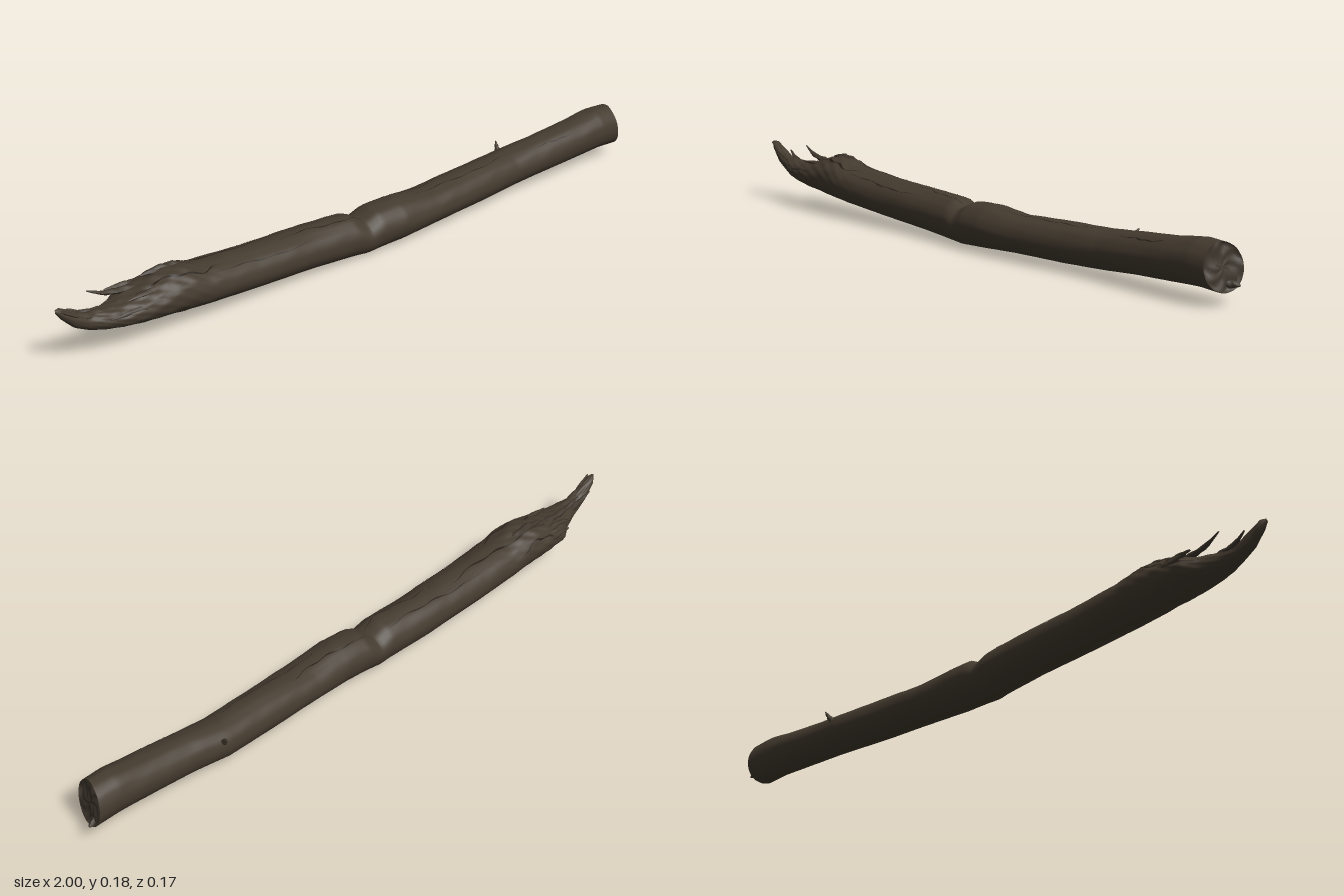
import * as THREE from 'three';

// Outline stations along the log: x, bottom, top, back z, front z
const STATIONS = [
  [-1.0, 0.178, 0.184, -0.003, 0.003], [-0.985, 0.155, 0.185, -0.015, 0.012],
  [-0.95, 0.118, 0.165, -0.02, 0.018], [-0.91, 0.096, 0.142, -0.025, 0.022],
  [-0.87, 0.085, 0.138, -0.035, 0.035], [-0.82, 0.073, 0.138, -0.055, 0.045],
  [-0.78, 0.066, 0.145, -0.082, 0.054], [-0.71, 0.057, 0.162, -0.086, 0.06],
  [-0.66, 0.051, 0.174, -0.086, 0.063], [-0.61, 0.046, 0.172, -0.085, 0.065],
  [-0.56, 0.042, 0.157, -0.084, 0.066], [-0.4, 0.03, 0.144, -0.08, 0.064],
  [-0.2, 0.017, 0.136, -0.074, 0.063], [-0.06, 0.008, 0.132, -0.063, 0.07],
  [-0.02, 0.006, 0.112, -0.06, 0.074], [0.02, 0.008, 0.132, -0.058, 0.078],
  [0.1, 0.012, 0.135, -0.054, 0.084], [0.22, 0.018, 0.124, -0.055, 0.081],
  [0.4, 0.019, 0.13, -0.058, 0.071], [0.55, 0.024, 0.133, -0.062, 0.063],
  [0.66, 0.033, 0.143, -0.05, 0.068], [0.8, 0.04, 0.156, -0.044, 0.074],
  [0.9, 0.044, 0.168, -0.04, 0.077], [0.97, 0.04, 0.165, -0.037, 0.077],
];
const RINGS = 240, SIDES = 48;

function section(x) {
  let i = 0;
  while (i < STATIONS.length - 2 && x > STATIONS[i + 1][0]) i++;
  const a = STATIONS[i], b = STATIONS[i + 1];
  const t = THREE.MathUtils.clamp((x - a[0]) / (b[0] - a[0]), 0, 1);
  return a.map((v, k) => THREE.MathUtils.lerp(v, b[k], t));
}

// Point on the bark; angle 0 faces +z, a quarter turn faces up
function surface(x, angle, scale = 1) {
  const [, bottom, top, back, front] = section(x);
  const torn = THREE.MathUtils.smoothstep(-x, 0.45, 0.75);
  const upper = 0.35 + 0.65 * Math.max(0, Math.sin(angle));
  const grain = Math.sin(7 * angle + 3 * Math.sin(4 * x)) * 0.5
    + Math.sin(13 * angle + 9 * x) * 0.4 + Math.sin(3 * angle + 23 * x) * 0.5
    + Math.sin(5 * angle - 61 * x) * Math.sin(17 * x) * 0.5;
  const chips = Math.sin(11 * angle + 31 * x) * Math.sin(83 * x + 2 * angle) * torn;
  const r = scale * (1 + upper * (0.017 * grain + 0.06 * chips));
  const y = (bottom + top) / 2 + r * (top - bottom) / 2 * Math.sin(angle);
  const z = (back + front) / 2 + r * (front - back) / 2 * Math.cos(angle);
  // The sawn end leans back towards the front and the top
  const lean = THREE.MathUtils.smoothstep(x, 0.85, 0.97);
  return new THREE.Vector3(x - lean * (0.22 * z + 0.15 * (y - 0.1)), y, z);
}

// Surface from a grid of points: rows of equal length, optionally closed round
function gridGeometry(rows, closed) {
  const n = rows[0].length, index = [];
  for (let i = 0; i < rows.length - 1; i++) {
    for (let j = 0; j < (closed ? n : n - 1); j++) {
      const k = (j + 1) % n, a = i * n, b = a + n;
      index.push(a + j, b + j, a + k, b + j, b + k, a + k);
    }
  }
  const g = new THREE.BufferGeometry().setFromPoints(rows.flat());
  g.setIndex(index);
  g.computeVertexNormals();
  return g;
}

function ring(x, scale = 1) {
  return Array.from({ length: SIDES }, (_, j) => surface(x, j / SIDES * Math.PI * 2, scale));
}

// Tapered, slightly crooked splinter along a few points
function splinterGeometry(points, width, flat = 1) {
  const curve = new THREE.CatmullRomCurve3(points.map(p => new THREE.Vector3(...p)));
  const steps = 10, g = new THREE.TubeGeometry(curve, steps, 1, 7);
  const p = g.attributes.position, v = new THREE.Vector3();
  for (let i = 0; i < p.count; i++) {
    const t = Math.floor(i / 8) / steps, c = curve.getPointAt(t);
    v.fromBufferAttribute(p, i).sub(c);
    v.multiplyScalar(width * (1 - 0.85 * t * t) * (1 + 0.15 * Math.sin(t * 19 + (i % 8 % 7) * 2)));
    v.y *= flat;
    p.setXYZ(i, c.x + v.x, c.y + v.y, c.z + v.z);
  }
  g.computeVertexNormals();
  return g;
}

// Narrow crack that follows the bark
function crackGeometry(x0, x1, angle, wander, width) {
  const rows = [];
  for (let i = 0; i <= 40; i++) {
    const t = i / 40, x = THREE.MathUtils.lerp(x0, x1, t);
    const a = angle + wander * (Math.sin(t * 7) + 0.4 * Math.sin(t * 23));
    const w = width * Math.sin(Math.PI * t) * (0.7 + 0.3 * Math.sin(t * 31));
    rows.push([-1, 0, 1].map(s => surface(x, a + s * w, 1.012)));
  }
  return gridGeometry(rows, false);
}

export function createModel() {
  const log = new THREE.Group();
  log.name = 'fallenLog';
  const bark = new THREE.MeshStandardMaterial({ color: 0x443b2f });
  bark.name = 'bark';
  const wood = new THREE.MeshStandardMaterial({ color: 0x40382e });
  wood.name = 'weathered wood';
  const dark = new THREE.MeshStandardMaterial({ color: 0x261f18, side: THREE.DoubleSide });
  dark.name = 'crack shade';
  const add = (name, geometry, material) => {
    const mesh = new THREE.Mesh(geometry, material);
    mesh.name = name;
    log.add(mesh);
  };

  // Bowed trunk, drawn out to a torn tongue at one end
  const rows = [];
  for (let i = 0; i <= RINGS; i++) rows.push(ring(-1 + 1.97 * i / RINGS));
  add('trunk', gridGeometry(rows, true), bark);

  // Uneven end grain
  const cap = [1, 0.93, 0.8, 0.6, 0.4, 0.2, 0.001].map((s, i) => ring(0.97, s).map((p, j) => {
    const a = j / SIDES * Math.PI * 2;
    if (i > 0) p.x += s * (0.004 * Math.sin(3 * a + 5 * s) + 0.003 * Math.sin(7 * a - 9 * s)) - 0.004;
    return p;
  }));
  add('brokenEnd', gridGeometry(cap, true), wood);
  add('endLip', splinterGeometry([[0.93, 0.06, 0.01], [0.965, 0.06, 0.0], [0.995, 0.058, -0.01]], 0.016), wood);

  // Splinters and torn slabs round the broken end
  const splinters = [
    [[[-0.74, 0.145, -0.03], [-0.81, 0.152, -0.035], [-0.84, 0.16, -0.037], [-0.88, 0.178, -0.042]], 0.011, 0.8],
    [[[-0.62, 0.11, -0.07], [-0.72, 0.12, -0.075], [-0.79, 0.128, -0.083]], 0.014, 1.3],
    [[[-0.6, 0.155, -0.03], [-0.66, 0.168, -0.03], [-0.72, 0.165, -0.035]], 0.015, 1],
    [[[-0.6, 0.14, 0.015], [-0.7, 0.148, 0.02], [-0.8, 0.145, 0.022]], 0.014, 0.8],
    [[[-0.66, 0.12, 0.045], [-0.76, 0.122, 0.042], [-0.86, 0.118, 0.034]], 0.012, 1],
    [[[-0.85, 0.125, 0.0], [-0.93, 0.145, 0.006], [-0.99, 0.182, 0.012]], 0.014, 0.8],
    [[[-0.84, 0.12, -0.02], [-0.91, 0.135, -0.023], [-0.95, 0.158, -0.03]], 0.011, 1],
    [[[-0.7, 0.135, -0.055], [-0.77, 0.145, -0.06], [-0.81, 0.142, -0.07]], 0.012, 0.9],
  ];
  splinters.forEach(([points, width, flat], i) =>
    add('splinter' + (i + 1), splinterGeometry(points, width, flat), i % 2 ? bark : wood));

  // Small twig stub on the back
  add('twigStub', splinterGeometry([[0.57, 0.1, -0.045], [0.575, 0.115, -0.06], [0.58, 0.13, -0.07]], 0.009), bark);

  // Long cracks and torn patches in the bark
  const cracks = [
    [-0.74, -0.3, 1.9, 0.12, 0.05], [-0.45, -0.03, 2.15, 0.1, 0.035],
    [-0.78, -0.5, 1.1, 0.14, 0.06], [-0.55, -0.2, 0.8, 0.06, 0.03],
    [-0.83, -0.58, 2.7, 0.15, 0.06], [-0.3, 0.0, 1.35, 0.1, 0.03],
    [0.0, 0.3, 1.9, 0.1, 0.035], [0.15, 0.55, 1.3, 0.08, 0.025],
    [0.62, 0.8, 0.9, 0.06, 0.04],
  ];
  cracks.forEach((c, i) => add('barkCrack' + (i + 1), crackGeometry(...c), dark));

  return log;
}
